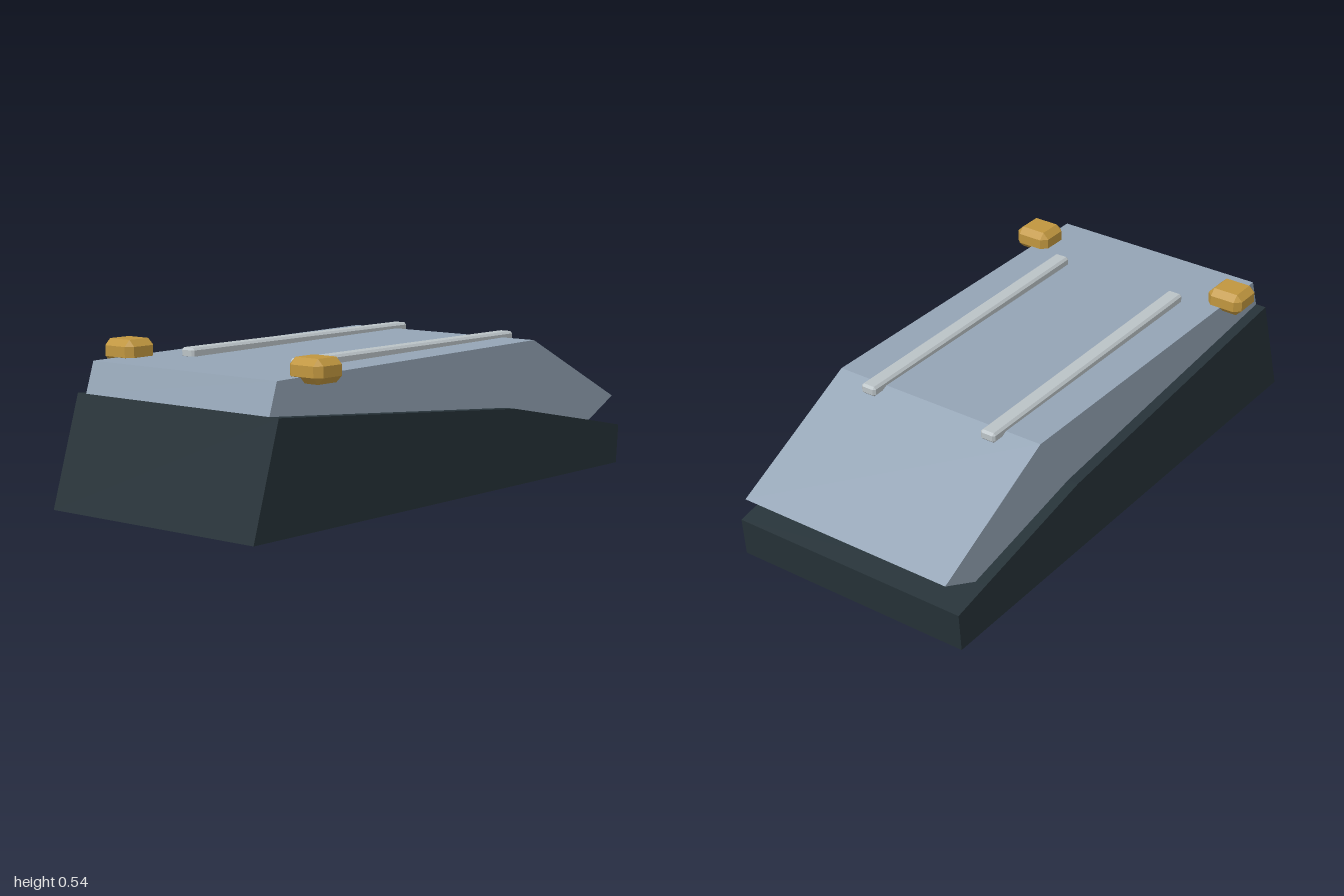
import * as THREE from 'three';
import { ConvexGeometry } from 'three/addons/geometries/ConvexGeometry.js';

const mat = (name, color) => Object.assign(new THREE.MeshStandardMaterial({ color }), { name });

// Side profile extruded across the width, centred on z = 0
function slab(points, width) {
  const shape = new THREE.Shape(points.map(([x, y]) => new THREE.Vector2(x, y)));
  const geo = new THREE.ExtrudeGeometry(shape, { depth: width, bevelEnabled: false });
  return geo.translate(0, 0, -width / 2);
}

// Box with every edge cut at 45 degrees
function chamferBox(w, h, d, c) {
  const pts = [];
  for (const x of [-1, 1]) for (const y of [-1, 1]) for (const z of [-1, 1]) {
    for (let axis = 0; axis < 3; axis++) {
      const p = [w / 2, h / 2, d / 2].map((s, i) => (i === axis ? s : s - c));
      pts.push(new THREE.Vector3(x * p[0], y * p[1], z * p[2]));
    }
  }
  return new ConvexGeometry(pts);
}

export function createModel() {
  const group = new THREE.Group();
  const dark = mat('darkBase', 0x263238);
  const blue = mat('blueGrey', 0x94a4b5);
  const silver = mat('silver', 0xbac2c6);
  const amber = mat('amber', 0xc0963f);

  const add = (name, geo, material, x = 0, y = 0, z = 0) => {
    const mesh = new THREE.Mesh(geo, material);
    mesh.name = name;
    mesh.position.set(x, y, z);
    group.add(mesh);
  };

  // Dark wedge base
  add('base', slab([[-1, 0], [0.97, 0], [0.982, 0.14], [0.84, 0.169],
    [0.33, 0.27], [-0.885, 0.374]], 0.89), dark);

  // Upper body with an overhanging nose
  add('upperBody', slab([[-0.885, 0.372], [0.33, 0.268], [0.84, 0.168], [0.995, 0.244],
    [0.49, 0.493], [-0.3, 0.485], [-0.85, 0.48]], 0.812), blue);

  // Roof rails and corner lamps, mirrored
  for (const side of [1, -1]) {
    const label = side > 0 ? 'front' : 'back';
    add(label + 'Rail', chamferBox(1.135, 0.036, 0.058, 0.008), silver, -0.014, 0.493, side * 0.243);
    add(label + 'Lamp', chamferBox(0.13, 0.08, 0.136, 0.022), amber, -0.68, 0.5, side * 0.414);
  }
  return group;
}
